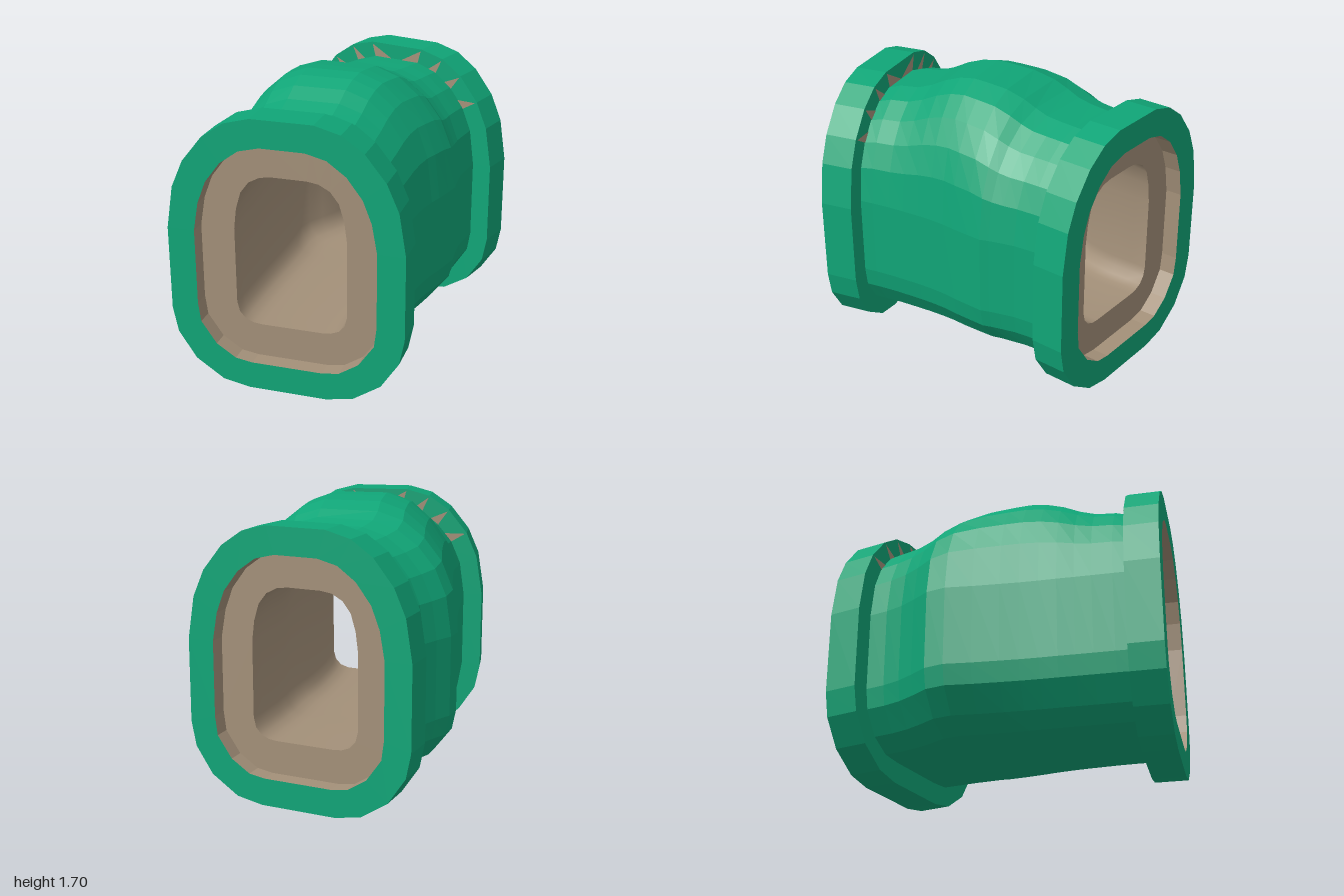
import * as THREE from 'three';
import { toCreasedNormals } from 'three/addons/utils/BufferGeometryUtils.js';

const SHOULDER = 0.95; // height where the arch begins

// Right half of each outline, from the bottom up; the left half is mirrored.
function outline(half) {
  return half.concat([...half].reverse().map(([x, y]) => [-x, y]));
}
const COLLAR = outline([[0.23, 0], [0.39, 0.03], [0.555, 0.14], [0.66, 0.3], [0.69, 0.45],
  [0.69, 0.95], [0.65, 1.2], [0.58, 1.36], [0.46, 1.51], [0.33, 1.6], [0.18, 1.64]]);
const BODY = outline([[0.21, 0.13], [0.34, 0.14], [0.46, 0.21], [0.55, 0.35], [0.57, 0.47],
  [0.57, 0.95], [0.54, 1.16], [0.48, 1.3], [0.39, 1.41], [0.28, 1.49], [0.15, 1.53]]);
const RIM = outline([[0.21, 0.165], [0.31, 0.18], [0.425, 0.255], [0.515, 0.385], [0.53, 0.5],
  [0.53, 0.95], [0.5, 1.12], [0.45, 1.25], [0.36, 1.37], [0.25, 1.45], [0.13, 1.48]]);
const BORE = outline([[0.18, 0.365], [0.23, 0.37], [0.28, 0.39], [0.315, 0.43], [0.33, 0.49],
  [0.33, 0.95], [0.315, 1.07], [0.285, 1.17], [0.235, 1.235], [0.17, 1.27], [0.1, 1.28]]);

// Stations along the bent axis: centre x, centre z, turn in degrees, half width, top height.
const STATIONS = [
  [-0.11, 0.8, 0, 0.57, 1.53], [-0.11, 0.72, 0, 0.571, 1.555], [-0.107, 0.6, 0, 0.575, 1.565],
  [-0.102, 0.5, 0, 0.581, 1.6], [-0.097, 0.4, 0, 0.588, 1.65], [-0.089, 0.3, 0.5, 0.596, 1.685],
  [-0.08, 0.2, 1.5, 0.608, 1.7], [-0.07, 0.105, 3, 0.625, 1.695], [-0.06, -0.03, 5, 0.647, 1.68],
  [-0.057, -0.15, 8, 0.67, 1.64], [-0.045, -0.235, 11, 0.657, 1.6], [-0.01, -0.32, 13, 0.622, 1.575],
  [0.02, -0.41, 14, 0.592, 1.565], [0.05, -0.51, 15, 0.577, 1.56], [0.075, -0.625, 15, 0.57, 1.55],
];
const FRONT_OUT = [-0.11, 1, 0], FRONT_MID = [-0.11, 0.9, 0], FRONT_IN = [-0.11, 0.8, 0];
const BACK_OUT = [0.13, -0.82, 15], BACK_MID = [0.104, -0.722, 15], BACK_IN = [0.075, -0.625, 15];

// Places an outline at a station, widening it and lifting its arch.
function section(profile, [cx, cz, deg, width = 0.57, top = 1.53]) {
  const a = THREE.MathUtils.degToRad(deg);
  const crown = Math.max(...profile.map((p) => p[1]));
  return profile.map(([px, py]) => {
    const x = px * width / 0.57;
    const y = py + (top - 1.53) * Math.max(0, py - SHOULDER) / (crown - SHOULDER);
    return new THREE.Vector3(cx + x * Math.cos(a), y, cz + x * Math.sin(a));
  });
}

// Skins a row of sections with flat facets; inward turns the faces to the inside.
function loft(sections, inward = false) {
  const pts = [];
  for (let i = 0; i < sections.length - 1; i++) {
    const s = sections[i], t = sections[i + 1], n = s.length;
    for (let j = 0; j < n; j++) {
      const k = (j + 1) % n;
      if (inward) pts.push(s[j], s[k], t[j], s[k], t[k], t[j]);
      else pts.push(s[j], t[j], s[k], s[k], t[j], t[k]);
    }
  }
  return facets(pts);
}

function facets(pts) {
  const geometry = new THREE.BufferGeometry().setFromPoints(pts);
  geometry.computeVertexNormals();
  return geometry;
}

// Small slivers on the inner face of a collar, around the arch.
function slivers(station, dir) {
  const [x, z, deg] = station;
  const a = THREE.MathUtils.degToRad(deg);
  const at = [x - Math.sin(a) * 0.004 * dir, z + Math.cos(a) * 0.004 * dir, deg];
  const outer = section(COLLAR, at), inner = section(BODY, at);
  const pts = [];
  for (const j of [7, 8, 9, 10, 11, 12, 13, 14]) {
    const next = j < 11 ? j + 1 : j - 1;
    const base = inner[j].clone().lerp(inner[next], 0.5);
    const tip = inner[j].clone().lerp(outer[j], 0.9);
    pts.push(inner[j], tip, base);
  }
  return facets(pts);
}

export function createModel() {
  const model = new THREE.Group();
  model.name = 'bentPipe';
  const green = new THREE.MeshStandardMaterial({ color: 0x10a577 });
  green.name = 'green';
  const beige = new THREE.MeshStandardMaterial({ color: 0xa39079 });
  beige.name = 'beige';
  const beigeThin = beige;
  beigeThin.side = THREE.DoubleSide;

  function add(name, geometry, material) {
    const mesh = new THREE.Mesh(geometry, material);
    mesh.name = name;
    model.add(mesh);
  }

  // Bulging outer shell
  add('body', loft(STATIONS.map((s) => section(BODY, s))), green);

  // End collars
  add('frontCollar', loft([section(RIM, FRONT_OUT), section(COLLAR, FRONT_OUT),
    section(COLLAR, FRONT_IN), section(RIM, FRONT_IN)]), green);
  add('backCollar', loft([section(RIM, BACK_IN), section(COLLAR, BACK_IN),
    section(COLLAR, BACK_OUT), section(RIM, BACK_OUT)]), green);

  // Recessed rings inside the collars
  add('frontRing', loft([section(RIM, FRONT_OUT), section(RIM, FRONT_MID),
    section(BORE, FRONT_MID)], true), beige);
  add('backRing', loft([section(BORE, BACK_MID), section(RIM, BACK_MID),
    section(RIM, BACK_OUT)], true), beige);

  // Smooth passage through the pipe
  const path = [FRONT_MID, ...STATIONS, BACK_MID];
  add('bore', toCreasedNormals(loft(path.map((s) => section(BORE, s)), true), 0.7), beige);

  // Exposed slivers behind the collars
  add('frontSlivers', slivers(FRONT_IN, -1), beigeThin);
  add('backSlivers', slivers(BACK_IN, 1), beigeThin);
  return model;
}
